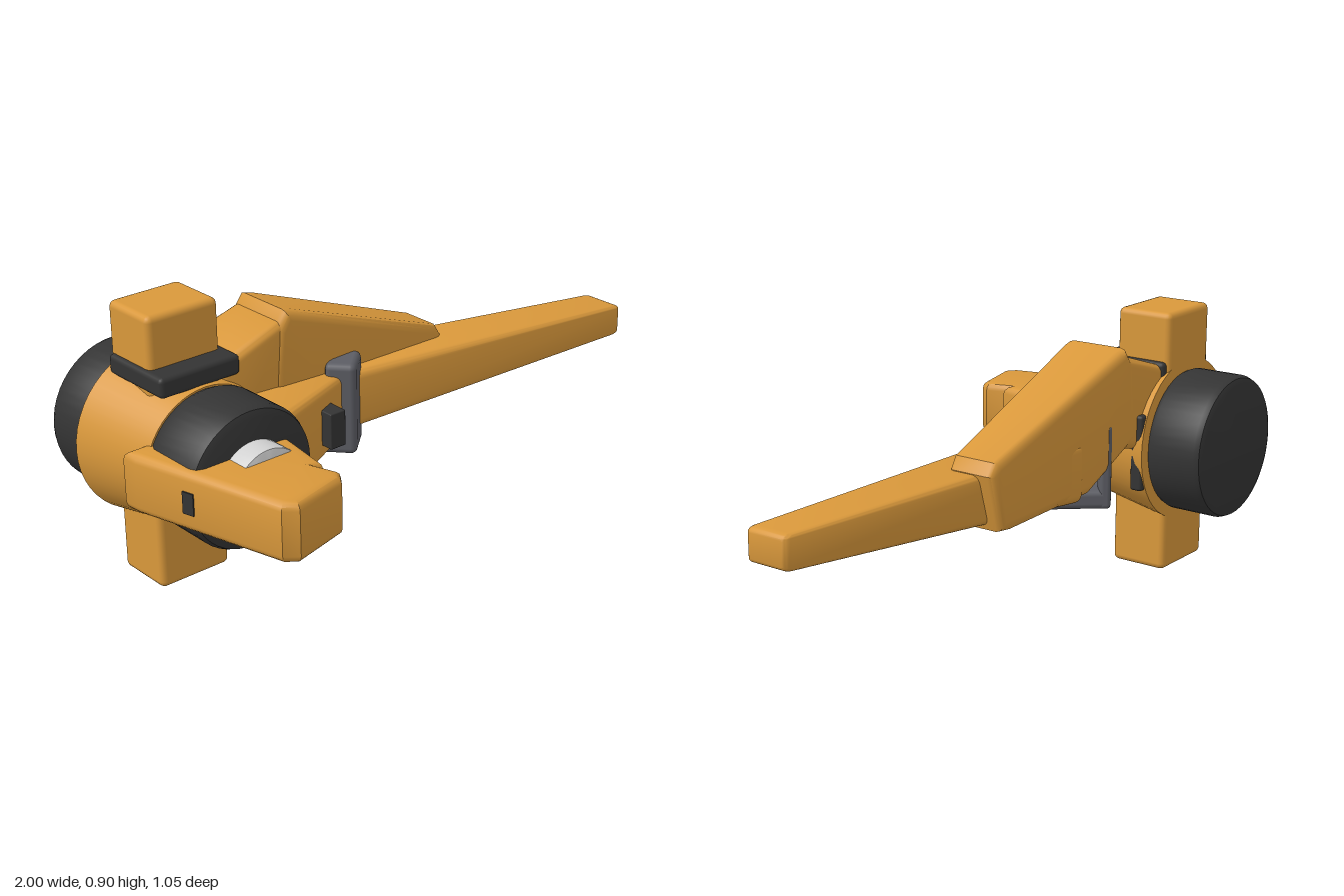
import * as THREE from 'three';
import { toCreasedNormals } from 'three/addons/utils/BufferGeometryUtils.js';
import { RoundedBoxGeometry } from 'three/addons/geometries/RoundedBoxGeometry.js';

const material = (name, color) => {
  const m = new THREE.MeshStandardMaterial({ color });
  m.name = name;
  return m;
};

export function createModel() {
  const orange = material('orange', 0xd9983b);
  const dark = material('charcoal', 0x343434);
  const grey = material('steel grey', 0x5c5d64);
  const white = material('off white', 0xd2d2d2);
  const model = new THREE.Group();
  const add = (name, geometry, mat, parent = model) => {
    const mesh = new THREE.Mesh(geometry, mat);
    mesh.name = name;
    parent.add(mesh);
    return mesh;
  };

  // Rounded box given by its limits
  const box = (x0, x1, y0, y1, z0, z1, r = 0.02) =>
    new RoundedBoxGeometry(x1 - x0, y1 - y0, z1 - z0, 2, r)
      .translate((x0 + x1) / 2, (y0 + y1) / 2, (z0 + z1) / 2);

  // Rounded beam along x whose y and z limits change from end a to end b
  const beam = (x0, x1, a, b, r = 0.03) => {
    const L = x1 - x0, H = a[1] - a[0], W = a[3] - a[2];
    const g = new RoundedBoxGeometry(L, H, W, 3, r);
    const p = g.attributes.position, mix = THREE.MathUtils.lerp;
    for (let i = 0; i < p.count; i++) {
      const t = p.getX(i) / L + 0.5;
      p.setXYZ(i, mix(x0, x1, t),
        mix(mix(a[0], b[0], t), mix(a[1], b[1], t), p.getY(i) / H + 0.5),
        mix(mix(a[2], b[2], t), mix(a[3], b[3], t), p.getZ(i) / W + 0.5));
    }
    return toCreasedNormals(g, 0.6);
  };

  // Polygon extruded with soft edges, centred on depth 0
  const slab = (points, depth, bevel) => {
    const shape = new THREE.Shape(points.map(([x, y]) => new THREE.Vector2(x, y)));
    return new THREE.ExtrudeGeometry(shape, {
      depth: depth - 2 * bevel, bevelThickness: bevel, bevelSize: bevel,
      bevelOffset: -bevel, bevelSegments: 3,
    }).translate(0, 0, bevel - depth / 2);
  };

  // Turned parts share one axis running front to back
  const turned = (profile) => toCreasedNormals(
    new THREE.LatheGeometry(profile.map(([r, z]) => new THREE.Vector2(r, z)), 48)
      .rotateX(Math.PI / 2).translate(-0.72, 0.45, 0), 0.6);
  const drum = (r, z0, z1, e) => turned([
    [0, z0], [r - e, z0], [r - e * 0.3, z0 + e * 0.3], [r, z0 + e],
    [r, z1 - e], [r - e * 0.3, z1 - e * 0.3], [r - e, z1], [0, z1],
  ]);

  // Hub
  add('rearDisc', drum(0.243, -0.53, -0.32, 0.025), dark);
  add('hubCone', turned([[0, -0.33], [0.278, -0.33], [0.224, -0.04], [0, -0.04]]), orange);
  add('frontDisc', drum(0.227, -0.05, 0.18, 0.03), dark);
  add('axleCap', drum(0.127, 0.17, 0.255, 0.006), white);
  add('verticalBlock', box(-0.855, -0.598, 0, 0.9, -0.33, -0.125), orange);
  add('topCollar', box(-0.87, -0.58, 0.67, 0.735, -0.32, -0.05, 0.015), dark);
  add('hubPad', box(-0.55, -0.45, 0.32, 0.58, -0.325, -0.28, 0.01), dark);

  // Upper arm, narrowing towards its far end
  add('upperArmNeck', beam(-0.64, -0.38, [0.42, 0.71, -0.315, -0.06],
    [0.48, 0.795, -0.3, -0.065]), orange);
  const arm = slab([[-0.45, 0.5], [-0.43, 0.76], [-0.39, 0.817], [-0.36, 0.81],
    [0.27, 0.58], [0.295, 0.54], [0.25, 0.355], [0.2, 0.35], [-0.2, 0.37]], 0.25, 0.03);
  const p = arm.attributes.position;
  for (let i = 0; i < p.count; i++) {
    const t = (p.getX(i) + 0.45) / 0.745;
    p.setZ(i, -0.182 + p.getZ(i) * (1 - 0.32 * t));
  }
  add('upperArm', toCreasedNormals(arm, 0.6), orange);

  // Long finger and the link that carries it
  add('longFinger', beam(-0.16, 1, [0.352, 0.555, -0.3, -0.035],
    [0.4, 0.51, -0.08, 0.075]), orange);
  add('fingerLink', beam(-0.6, -0.17, [0.315, 0.59, -0.06, 0.155],
    [0.355, 0.56, -0.2, -0.035]), orange);
  add('linkButton', box(-0.35, -0.29, 0.39, 0.51, -0.02, 0.088, 0.004), dark);

  // Bracket wrapping under the finger joint, turned about y
  const bracket = new THREE.Group();
  bracket.name = 'jointBracket';
  bracket.position.set(-0.245, 0, -0.143);
  bracket.rotation.y = 0.72;
  model.add(bracket);
  add('bracketBase', box(-0.068, 0.068, 0.295, 0.36, -0.16, 0.16), grey, bracket);
  add('bracketFront', box(-0.068, 0.068, 0.295, 0.605, 0.06, 0.16), grey, bracket);
  add('bracketRear', box(0, 0.068, 0.295, 0.58, -0.16, -0.12, 0.015), grey, bracket);

  // Thumb reaching forward past the front disc
  const thumb = [[-1, -0.07], [-0.995, -0.02], [-0.865, 0.49], [-0.825, 0.522], [-0.635, 0.475],
    [-0.61, 0.44], [-0.64, 0.36], [-0.612, 0.365], [-0.582, 0.17], [-0.7, 0.1], [-0.88, -0.07]];
  // Mirrored outline keeps z forward once the slab is laid flat
  add('thumb', toCreasedNormals(slab(thumb.map(([x, z]) => [x, -z]), 0.19, 0.025)
    .rotateX(-Math.PI / 2).translate(0, 0.45, 0), 0.6), orange);
  const slot = add('thumbSlot', new THREE.BoxGeometry(0.008, 0.07, 0.04), dark);
  slot.position.set(-0.947, 0.45, 0.17);
  slot.rotation.y = 0.25;

  return model;
}
